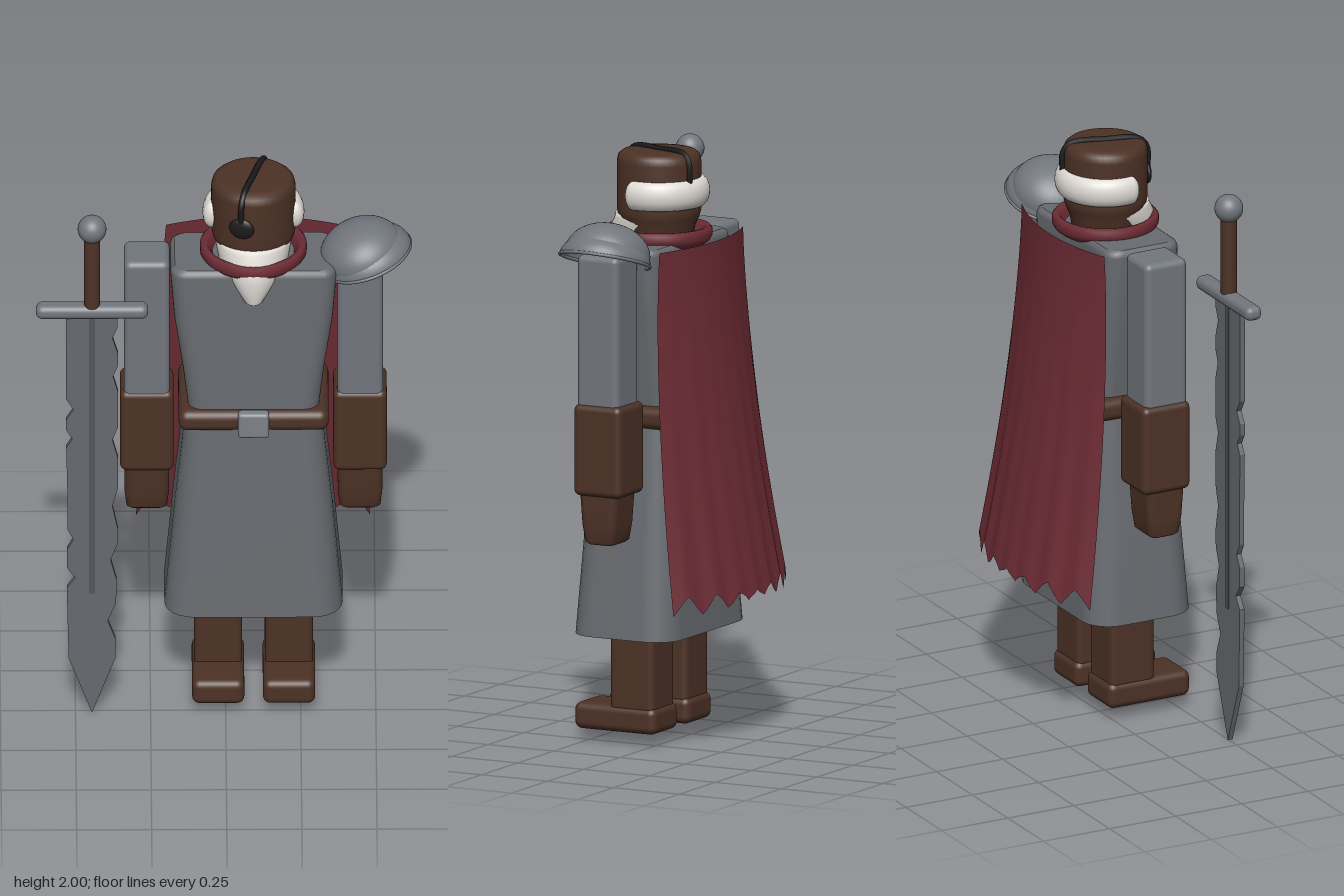
import * as THREE from 'three';
import { RoundedBoxGeometry } from 'three/addons/geometries/RoundedBoxGeometry.js';

const mat = (name, color, side = THREE.FrontSide) => {
  const m = new THREE.MeshStandardMaterial({ color, side });
  m.name = name;
  return m;
};

// Closed body lofted through rounded rectangles [y, halfX, halfZ, cornerRadius], bottom to top
function loft(sections, caps = true) {
  const seg = 6, n = 4 * (seg + 1), pos = [], idx = [];
  const ring = ([y, hx, hz, r]) => {
    for (let c = 0; c < 4; c++) {
      const sx = c === 0 || c === 3 ? 1 : -1, sz = c < 2 ? 1 : -1;
      for (let k = 0; k <= seg; k++) {
        const a = (c + k / seg) * Math.PI / 2;
        pos.push(sx * (hx - r) + r * Math.cos(a), y, sz * (hz - r) + r * Math.sin(a));
      }
    }
  };
  sections.forEach(ring);
  for (let j = 0; j < sections.length - 1; j++) {
    for (let i = 0; i < n; i++) {
      const a = j * n + i, b = j * n + (i + 1) % n;
      idx.push(a, a + n, b, b, a + n, b + n);
    }
  }
  if (caps) {
    [sections[0], sections[sections.length - 1]].forEach((s, top) => {
      const base = pos.length / 3;
      ring(s);
      pos.push(0, s[0], 0);
      for (let i = 0; i < n; i++) {
        const p = base + i, q = base + (i + 1) % n;
        idx.push(base + n, top ? q : p, top ? p : q);
      }
    });
  }
  const g = new THREE.BufferGeometry();
  g.setAttribute('position', new THREE.Float32BufferAttribute(pos, 3));
  g.setIndex(idx);
  g.computeVertexNormals();
  return g;
}

const lathe = (pts, seg = 40, start = 0, len = Math.PI * 2) =>
  new THREE.LatheGeometry(pts.map(p => new THREE.Vector2(...p)), seg, start, len);

export function createModel() {
  const root = new THREE.Group();
  root.name = 'swordsman';
  const cloth = mat('grey tunic', 0x686b70, THREE.DoubleSide);
  const steel = mat('steel', 0x72767d, THREE.DoubleSide);
  const bladeSteel = mat('blade steel', 0x666a6f);
  const darkSteel = mat('dark steel', 0x53575c);
  const buckleSteel = mat('buckle', 0x7d8288);
  const leather = mat('brown leather', 0x4d3226);
  const red = mat('red cloth', 0x6e2c35, THREE.DoubleSide);
  const white = mat('white hair', 0xdedad4, THREE.DoubleSide);
  const black = mat('black strap', 0x1a1a1c);

  const add = (name, geo, m, x = 0, y = 0, z = 0, parent = root) => {
    const mesh = new THREE.Mesh(geo, m);
    mesh.name = name;
    mesh.position.set(x, y, z);
    parent.add(mesh);
    return mesh;
  };
  const box = (name, m, w, h, d, r, x, y, z, parent) =>
    add(name, new RoundedBoxGeometry(w, h, d, 4, r), m, x, y, z, parent);

  const CX = 0.093, CZ = 0.073; // body axis

  // Torso, skirt and belt
  add('torso', loft([[1.1, 0.212, 0.138, 0.05], [1.3, 0.235, 0.138, 0.05], [1.5, 0.264, 0.138, 0.05],
    [1.67, 0.277, 0.138, 0.05], [1.685, 0.273, 0.133, 0.05], [1.693, 0.262, 0.122, 0.045]]), cloth, CX, 0, 0.079);
  add('skirt', loft([[0.375, 0.297, 0.195, 0.1], [0.75, 0.264, 0.172, 0.09], [1.12, 0.226, 0.146, 0.07]], false),
    cloth, CX, 0, CZ);
  box('belt', leather, 0.5, 0.076, 0.344, 0.03, CX, 1.122, CZ);
  box('buckle', buckleSteel, 0.104, 0.094, 0.04, 0.012, CX, 1.12, 0.245);

  // Arms and legs, mirrored about the body axis
  for (const s of [-1, 1]) {
    const side = s > 0 ? 'left' : 'right';
    const arm = new THREE.Group();
    arm.name = side + 'Arm';
    arm.position.set(CX + s * 0.355, 0, 0.075);
    root.add(arm);
    box('sleeve', steel, 0.152, 0.54, 0.158, 0.022, 0, 1.422, 0, arm);
    box('gauntlet', leather, 0.178, 0.31, 0.18, 0.022, 0, 1.033, -0.005, arm);
    add('hand', loft([[0.713, 0.058, 0.045, 0.02], [0.722, 0.068, 0.056, 0.025], [0.78, 0.074, 0.064, 0.025],
      [0.89, 0.075, 0.072, 0.025]]), leather, 0, 0, 0, arm);

    const leg = new THREE.Group();
    leg.name = side + 'Leg';
    leg.position.set(CX + s * 0.118, 0, 0);
    root.add(leg);
    box('shin', leather, 0.16, 0.62, 0.165, 0.02, 0, 0.42, 0.073, leg);
    box('boot', leather, 0.174, 0.09, 0.308, 0.025, 0, 0.086, 0.134, leg);
  }

  // Pauldron: two tilted open shells on the left shoulder
  const pauldron = new THREE.Group();
  pauldron.name = 'pauldron';
  pauldron.position.set(0.455, 1.685, 0.071);
  pauldron.rotation.z = 0.33;
  root.add(pauldron);
  const dome = new THREE.SphereGeometry(1, 40, 14, 0, Math.PI * 2, 0, Math.PI / 2);
  add('upperPlate', dome, steel, 0, 0.005, 0, pauldron).scale.set(0.143, 0.105, 0.143);
  add('lowerPlate', dome, steel, 0.012, -0.018, 0, pauldron).scale.set(0.155, 0.09, 0.153);
  const rim = add('plateRim', new THREE.TorusGeometry(0.152, 0.006, 8, 40), steel, 0.012, -0.018, 0, pauldron);
  rim.rotation.x = Math.PI / 2;

  // Collar
  add('collar', lathe([[0.125, 1.66], [0.15, 1.67], [0.17, 1.685], [0.178, 1.7], [0.178, 1.722],
    [0.17, 1.732], [0.155, 1.73], [0.145, 1.715], [0.135, 1.69]]), red, CX, 0, CZ);

  // Head with hair band and beard
  add('head', lathe([[0.11, 1.67], [0.12, 1.73], [0.135, 1.765], [0.141, 1.79], [0.141, 1.95], [0.136, 1.972],
    [0.122, 1.984], [0.1, 1.987], [0, 1.987]]), leather, CX, 0, CZ);
  const hair = new THREE.Group();
  hair.name = 'hairBand';
  hair.position.set(CX, 1.85, CZ);
  hair.scale.y = 1.6;
  root.add(hair);
  const over = 0.14, R = 0.139;
  const band = new THREE.TorusGeometry(R, 0.031, 16, 40, Math.PI + 2 * over);
  band.rotateZ(-over);
  band.rotateX(-Math.PI / 2);
  add('band', band, white, 0, 0, 0, hair);
  for (const s of [-1, 1]) {
    add('bandEnd', new THREE.SphereGeometry(0.031, 16, 12), white, s * R * Math.cos(over), 0, R * Math.sin(over), hair);
  }

  // Beard swings forward over the chest as it narrows to its tip
  const beard = lathe([[0.001, 1.57], [0.03, 1.585], [0.088, 1.66], [0.118, 1.71], [0.13, 1.76], [0.128, 1.774], [0.1, 1.78]],
    24, -Math.PI / 2, Math.PI);
  const bp = beard.attributes.position;
  for (let i = 0; i < bp.count; i++) {
    const y = bp.getY(i);
    bp.setZ(i, bp.getZ(i) * 1.15 + Math.max(0, 1.76 - y) * 0.78);
  }
  beard.computeVertexNormals();
  add('beard', beard, white, CX, 0, CZ + 0.002);

  // Eye patch and strap
  const patch = add('eyePatch', new THREE.SphereGeometry(1, 24, 16), black, 0.053, 1.863, 0.208);
  patch.scale.set(0.043, 0.038, 0.014);
  patch.rotation.y = -0.28;
  const strap = new THREE.CatmullRomCurve3([[0.052, 1.87, 0.21], [0.053, 1.955, 0.208], [0.062, 1.985, 0.18],
    [0.093, 1.99, 0.073], [0.126, 1.985, -0.04], [0.135, 1.955, -0.064], [0.137, 1.88, -0.066]]
    .map(p => new THREE.Vector3(...p)));
  add('eyePatchStrap', new THREE.TubeGeometry(strap, 60, 0.01, 8), black);

  // Cape: curved sheet that flares downward, with a ragged hem
  const cape = new THREE.PlaneGeometry(2, 1, 56, 24);
  const cp = cape.attributes.position;
  for (let i = 0; i < cp.count; i++) {
    const u = cp.getX(i), t = 0.5 - cp.getY(i);
    const tooth = Math.abs(((u + 1) * 7) % 2 - 1);
    const hem = 0.485 + 0.045 * (1 - tooth) + 0.02 * Math.sin(u * 9) ** 2;
    const half = 0.29 + 0.1 * t;
    cp.setXYZ(i, CX + u * half, 1.695 + (hem - 1.695) * t,
      -0.142 - 0.158 * t ** 1.5 + u * u * (0.055 + 0.05 * t));
  }
  cape.computeVertexNormals();
  add('cape', cape, red);

  // Sword with a chipped blade
  const sword = new THREE.Group();
  sword.name = 'sword';
  sword.position.set(-0.445, 0, 0.25);
  root.add(sword);
  const rightEdge = [[0.085, 1.55], [0.085, 1.51], [0.068, 1.47], [0.086, 1.41], [0.086, 1.36], [0.07, 1.32],
    [0.086, 1.26], [0.086, 1.12], [0.068, 1.07], [0.086, 1.0], [0.086, 0.88], [0.068, 0.81], [0.086, 0.72],
    [0.084, 0.66], [0.062, 0.6], [0.082, 0.52], [0.08, 0.43], [0.052, 0.36], [0.078, 0.29], [0.078, 0.215]];
  const leftEdge = [[-0.078, 0.215], [-0.084, 0.49], [-0.056, 0.53], [-0.084, 0.57], [-0.084, 0.64], [-0.062, 0.68],
    [-0.082, 0.72], [-0.082, 0.86], [-0.086, 1.04], [-0.066, 1.075], [-0.086, 1.11], [-0.086, 1.15],
    [-0.062, 1.19], [-0.086, 1.23], [-0.086, 1.55]];
  const outline = new THREE.Shape([...rightEdge, [0, 0], ...leftEdge].map(p => new THREE.Vector2(...p)));
  add('blade', new THREE.ExtrudeGeometry(outline, { depth: 0.018, bevelEnabled: false }), bladeSteel, 0, 0, -0.004, sword);
  add('fuller', new THREE.BoxGeometry(0.02, 1.08, 0.026), darkSteel, 0, 1.01, 0.005, sword);
  box('guard', steel, 0.374, 0.05, 0.06, 0.022, 0, 1.572, 0, sword);
  add('grip', new THREE.CylinderGeometry(0.027, 0.027, 0.28, 24), leather, 0, 1.73, 0, sword);
  add('pommel', new THREE.SphereGeometry(0.048, 28, 20), steel, 0, 1.89, 0, sword);

  return root;
}
